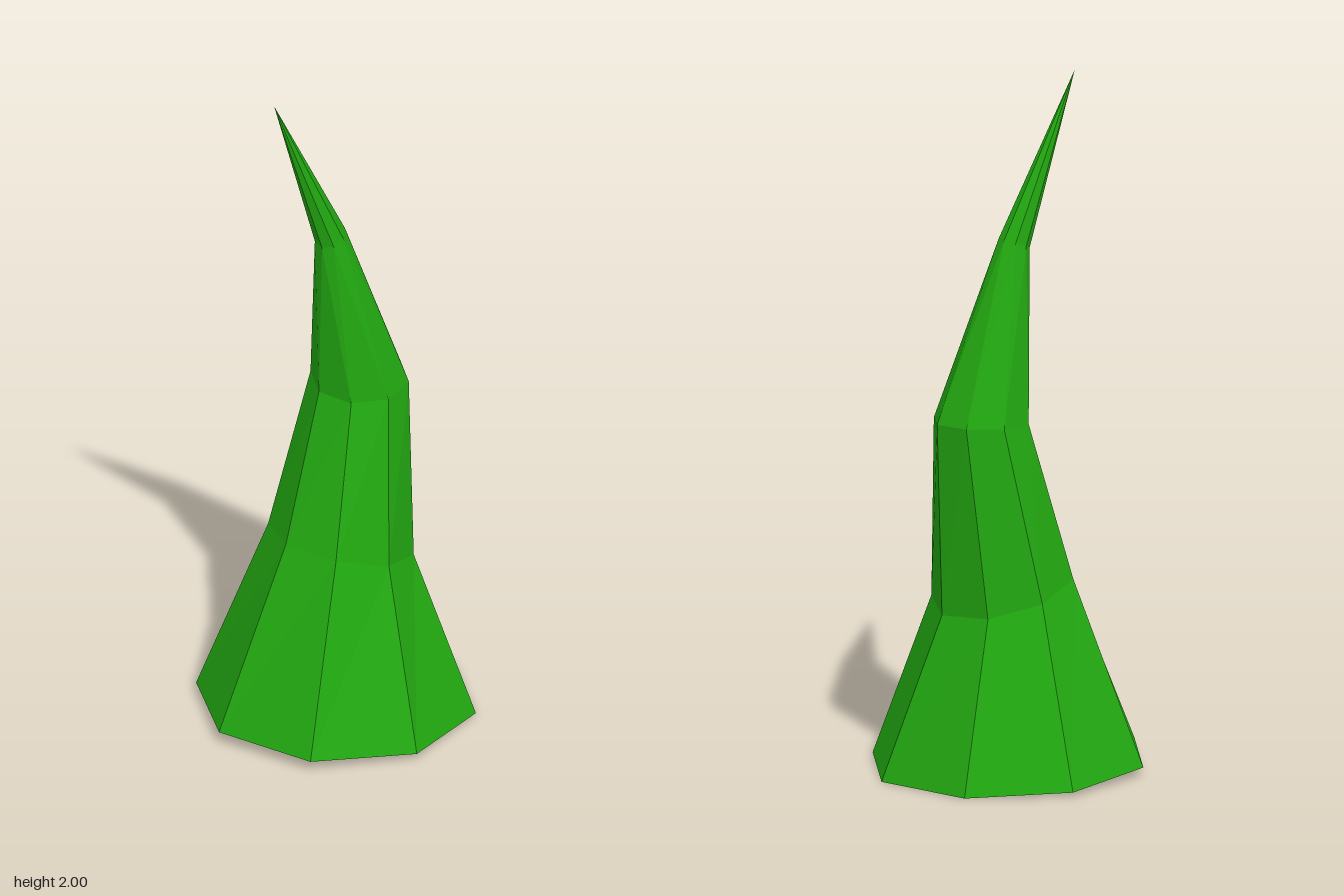
import * as THREE from 'three';

const SIDES = 8;

// Tilted cross-sections: centre, offset to the left (+x) corner, offset to the front corner
const SECTIONS = [
  { c: [0, 0.02, 0], u: [0.4, -0.0175, -0.005], v: [0.005, 0.005, 0.4] },
  { c: [0.02, 0.525, -0.005], u: [0.2, -0.055, -0.02], v: [0.02, 0.005, 0.212] },
  { c: [0.095, 1.02, -0.022], u: [0.14, 0.005, -0.003], v: [0, -0.007, 0.145] },
  { c: [-0.016, 1.52, -0.007], u: [0.041, 0.015, 0.015], v: [-0.018, -0.012, 0.046] },
];
const TIP = new THREE.Vector3(-0.21, 2, 0);

function ring({ c, u, v }) {
  return Array.from({ length: SIDES }, (_, i) => {
    const a = (i / SIDES) * Math.PI * 2;
    return new THREE.Vector3(...c)
      .addScaledVector(new THREE.Vector3(...u), Math.cos(a))
      .addScaledVector(new THREE.Vector3(...v), Math.sin(a));
  });
}

function facetedMesh(name, points, material) {
  const geometry = new THREE.BufferGeometry().setFromPoints(points);
  geometry.computeVertexNormals();
  const mesh = new THREE.Mesh(geometry, material);
  mesh.name = name;
  return mesh;
}

export function createModel() {
  const group = new THREE.Group();
  group.name = 'bentSpike';
  const green = new THREE.MeshStandardMaterial({ color: 0x22a811 });
  green.name = 'leafGreen';
  green.flatShading = true;

  const rings = SECTIONS.map(ring);
  const base = new THREE.Vector3(...SECTIONS[0].c);
  const wall = [], tip = [], underside = [];

  for (let i = 0; i < SIDES; i++) {
    const j = (i + 1) % SIDES;
    // Walls between neighbouring sections
    for (let k = 0; k < rings.length - 1; k++) {
      const a = rings[k], b = rings[k + 1];
      wall.push(a[i], b[i], a[j], a[j], b[i], b[j]);
    }
    // Pointed end and closed bottom
    const top = rings[rings.length - 1];
    tip.push(top[i], TIP, top[j]);
    underside.push(base, rings[0][i], rings[0][j]);
  }

  group.add(
    facetedMesh('stalk', wall, green),
    facetedMesh('tip', tip, green),
    facetedMesh('underside', underside, green),
  );
  return group;
}
